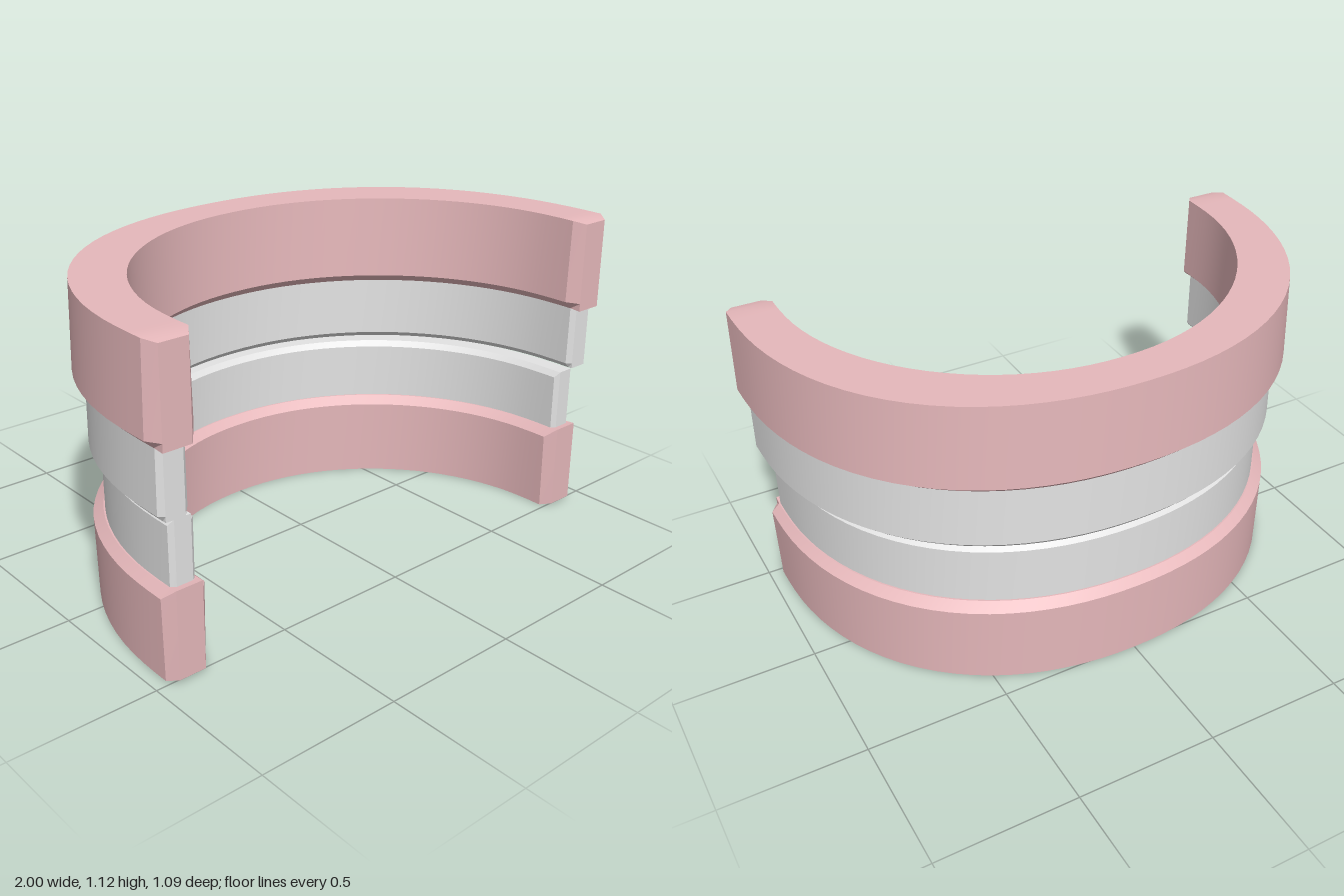
import * as THREE from 'three';
import { toCreasedNormals } from 'three/addons/utils/BufferGeometryUtils.js';

const SEGMENTS = 48;
const CENTRE_Z = 0.45; // where the round back meets the straight ends
const MID_Y = 0.56; // bite level between the jaws

// Horseshoe centre line: a slightly squared half ellipse with short straight ends
const points = [new THREE.Vector3(0.915, 0, 0.5)];
for (let i = 0; i <= 24; i++) {
  const a = (i / 24) * Math.PI;
  const power = (v) => Math.sign(v) * Math.abs(v) ** 0.952;
  points.push(new THREE.Vector3(0.915 * power(Math.cos(a)), 0, CENTRE_Z - 0.91 * power(Math.sin(a))));
}
points.push(new THREE.Vector3(-0.915, 0, 0.5));
const path = new THREE.CatmullRomCurve3(points);

// Sweeps a symmetric profile, given as [half width, y] from bottom to top, and chamfers both ends
function sweepArch(profile, scale, chamfer) {
  const section = [...profile, ...profile.map(([u, y]) => [-u, y]).reverse()];
  const endHalf = Math.min(...profile.map((p) => p[0]), profile[1][0] - chamfer * 0.85);
  const n = section.length;
  const positions = [];
  const index = [];

  const addSection = (t, extend) => {
    const p = path.getPointAt(t);
    const d = path.getTangentAt(t);
    // The arch is thicker at its two rounded corners
    const angle = Math.atan2(Math.max(0, CENTRE_Z - p.z), p.x);
    const thickness = 1 + 0.17 * Math.sin(2 * angle) ** 2;
    p.multiplyScalar(scale).addScaledVector(d, extend);
    for (const [u, y] of section) {
      const w = extend ? THREE.MathUtils.clamp(u, -endHalf, endHalf) : u * thickness;
      const h = extend ? THREE.MathUtils.lerp(y, MID_Y, 0.018) : y;
      positions.push(p.x - d.z * w, h, p.z + d.x * w);
    }
  };

  addSection(0, -chamfer);
  for (let i = 0; i <= SEGMENTS; i++) addSection(i / SEGMENTS, 0);
  addSection(1, chamfer);

  const last = SEGMENTS + 2;
  for (let i = 0; i < last; i++) {
    for (let j = 0; j < n; j++) {
      const k = (j + 1) % n;
      const a = i * n + j, b = a + n, c = (i + 1) * n + k, d = i * n + k;
      index.push(a, b, c, a, c, d);
    }
  }
  // End faces
  for (let j = 1; j < n - 1; j++) {
    index.push(0, j, j + 1);
    index.push(last * n, last * n + j + 1, last * n + j);
  }

  const geometry = new THREE.BufferGeometry();
  geometry.setAttribute('position', new THREE.Float32BufferAttribute(positions, 3));
  geometry.setIndex(index);
  return toCreasedNormals(geometry, 0.25);
}

export function createModel() {
  const gum = new THREE.MeshStandardMaterial({ color: 0xe6b8bb });
  gum.name = 'gum pink';
  const enamel = new THREE.MeshStandardMaterial({ color: 0xe3e3e3 });
  enamel.name = 'tooth grey';

  const model = new THREE.Group();
  model.name = 'dentalArches';
  const add = (name, material, profile, scale, chamfer) => {
    const mesh = new THREE.Mesh(sweepArch(profile, scale, chamfer), material);
    mesh.name = name;
    model.add(mesh);
  };

  // Upper jaw
  add('upperGum', gum, [[0.053, 0.79], [0.085, 0.82], [0.079, 1.12]], 1, 0.04);
  add('upperTeeth', enamel, [[0.035, 0.555], [0.053, 0.575], [0.051, 0.8]], 1, 0.016);

  // Lower jaw, slightly smaller
  add('lowerTeeth', enamel, [[0.045, 0.3], [0.046, 0.52], [0.03, 0.54]], 0.957, 0.014);
  add('lowerGum', gum, [[0.075, 0], [0.08, 0.288], [0.05, 0.316]], 0.957, 0.037);

  return model;
}
